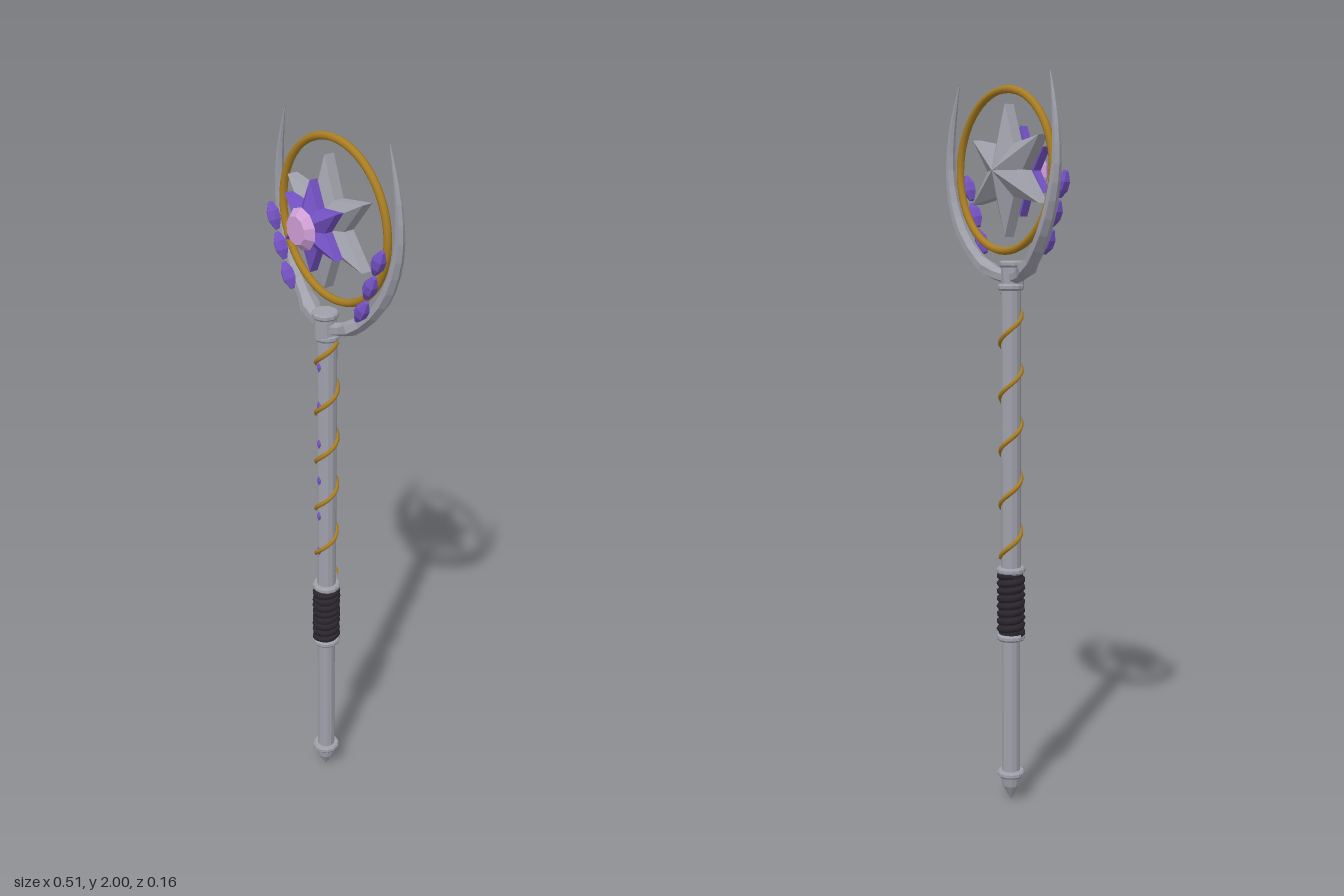
import * as THREE from 'three';

const mat = (name, color) => Object.assign(new THREE.MeshStandardMaterial({ color }), { name });

// Faceted copy of a geometry
function facet(geo) {
  const g = geo.index ? geo.toNonIndexed() : geo;
  g.computeVertexNormals();
  return g;
}

// Closed solid through rings of points, with both ends capped
function loft(rings, flip = false) {
  const pos = [], n = rings[0].length;
  const tri = (a, b, c) => (flip ? [a, c, b] : [a, b, c]).forEach(p => pos.push(p.x, p.y, p.z));
  const centre = r => r.reduce((s, p) => s.add(p), new THREE.Vector3()).divideScalar(n);
  const first = rings[0], last = rings[rings.length - 1];
  const c0 = centre(first), c1 = centre(last);
  for (let j = 0; j < n; j++) {
    const k = (j + 1) % n;
    for (let i = 0; i < rings.length - 1; i++) {
      const r = rings[i], s = rings[i + 1];
      tri(r[j], r[k], s[k]);
      tri(r[j], s[k], s[j]);
    }
    tri(c0, first[k], first[j]);
    tri(c1, last[j], last[k]);
  }
  const g = new THREE.BufferGeometry();
  g.setAttribute('position', new THREE.Float32BufferAttribute(pos, 3));
  return facet(g);
}

// Six-pointed star built from [scale, z] layers, back to front
function star(outer, inner, layers) {
  return loft(layers.map(([s, z]) => Array.from({ length: 12 }, (_, i) => {
    const a = Math.PI / 2 + i * Math.PI / 6, r = s * (i % 2 ? inner : outer);
    return new THREE.Vector3(Math.cos(a) * r, Math.sin(a) * r, z);
  })));
}

// Lathed part from [radius, height] pairs
const lathe = (pts, sides) => new THREE.LatheGeometry(pts.map(p => new THREE.Vector2(...p)), sides);

// Spiral tube round the shaft; the angle is 0 at the front
function helix(radius, tube, y0, y1, pitch, frontY, segments) {
  const pts = [], steps = Math.ceil((y1 - y0) / pitch * 16);
  for (let i = 0; i <= steps; i++) {
    const y = y0 + (y1 - y0) * i / steps, a = (y - frontY) / pitch * Math.PI * 2;
    pts.push(new THREE.Vector3(Math.sin(a) * radius, y, Math.cos(a) * radius));
  }
  return new THREE.TubeGeometry(new THREE.CatmullRomCurve3(pts), segments, tube, 6);
}

// Curved, tapering prong; side is 1 or -1
function prong(side) {
  // x, y, z of the centre line, then half width and half depth
  const rows = [
    [0.01, 1.472, -0.02, 0.018, 0.02], [0.06, 1.483, -0.027, 0.018, 0.022],
    [0.12, 1.517, -0.04, 0.018, 0.022], [0.185, 1.59, -0.049, 0.017, 0.021],
    [0.225, 1.675, -0.052, 0.015, 0.018], [0.243, 1.765, -0.052, 0.012, 0.014],
    [0.238, 1.86, -0.05, 0.009, 0.011], [0.222, 1.94, -0.047, 0.005, 0.006],
    [0.206, 2.0, -0.045, 0.0008, 0.001]];
  const path = new THREE.CatmullRomCurve3(rows.map(r => new THREE.Vector3(r[0], r[1], r[2])));
  const size = new THREE.CatmullRomCurve3(rows.map(r => new THREE.Vector3(r[3], r[4], 0)));
  const rings = [];
  for (let i = 0; i <= 16; i++) {
    const p = path.getPoint(i / 16), t = path.getTangent(i / 16), s = size.getPoint(i / 16);
    const l = Math.hypot(t.x, t.y);
    rings.push(Array.from({ length: 6 }, (_, j) => {
      const a = j * Math.PI / 3, w = Math.cos(a) * s.x;
      return new THREE.Vector3(side * (p.x + w * t.y / l), p.y - w * t.x / l, p.z + Math.sin(a) * s.y);
    }));
  }
  // the in-plane normal points outward, so the ring runs clockwise on the +x side
  return loft(rings, side > 0);
}

export function createModel() {
  const silver = mat('silver', 0xa0a0ab), gold = mat('gold', 0xab7f22), purple = mat('purple', 0x7452c4);
  const pink = mat('pink', 0xcf9fd6), black = mat('black', 0x2b262e);
  const model = new THREE.Group();
  model.name = 'staff';
  const add = (parent, name, geo, material, x = 0, y = 0, z = 0) => {
    const m = new THREE.Mesh(geo, material);
    m.name = name;
    m.position.set(x, y, z);
    parent.add(m);
    return m;
  };

  // Shaft with its fittings
  const shaft = new THREE.Group();
  shaft.name = 'shaft';
  shaft.position.z = -0.02;
  model.add(shaft);
  const rod = (name, r, y0, y1, material = silver) =>
    add(shaft, name, facet(new THREE.CylinderGeometry(r, r, y1 - y0, 12)), material, 0, (y0 + y1) / 2, 0);
  rod('lowerShaft', 0.0255, 0.07, 0.48);
  rod('upperShaft', 0.0275, 0.66, 1.45);
  add(shaft, 'pointedFoot', facet(lathe([[0, 0], [0.024, 0.042], [0.029, 0.07], [0, 0.07]], 12)), silver);
  const collar = (name, y, r) => add(shaft, name,
    facet(lathe([[0, -0.009], [r - 0.004, -0.009], [r, -0.004], [r, 0.004], [r - 0.004, 0.009], [0, 0.009]], 12)),
    silver, 0, y, 0);
  collar('footCollar', 0.078, 0.039);
  collar('lowerGripCollar', 0.475, 0.04);
  collar('upperGripCollar', 0.665, 0.04);
  collar('headCollar', 1.447, 0.036);

  // Wrapped grip
  rod('gripCore', 0.033, 0.475, 0.665, black);
  add(shaft, 'gripWrap', helix(0.03, 0.0105, 0.485, 0.655, 0.0215, 0.49, 160), black);

  // Gold spiral and the small stones between its turns
  add(shaft, 'goldSpiral', helix(0.0285, 0.0065, 0.7, 1.435, 0.149, 0.79, 150), gold);
  for (let i = 0; i < 6; i++) {
    const stone = add(shaft, 'shaftStone', facet(new THREE.OctahedronGeometry(1)), purple, 0, 0.79 + i * 0.1145, 0.026);
    stone.scale.set(0.009, 0.019, 0.007);
  }

  // Socket that carries the prongs
  rod('socket', 0.031, 1.45, 1.505).position.z = 0.006;
  collar('socketCap', 1.509, 0.036).position.z = 0.006;
  add(model, 'leftProng', prong(1), silver);
  add(model, 'rightProng', prong(-1), silver);

  // Ring, stars and centre stone
  const head = new THREE.Group();
  head.name = 'head';
  head.position.y = 1.756;
  model.add(head);
  add(head, 'goldRing', new THREE.TorusGeometry(0.212, 0.0105, 8, 56), gold, 0, 0, -0.04);
  add(head, 'silverStar', star(0.175, 0.08, [[0.002, -0.082], [1, -0.04], [1, -0.01], [0.6, 0.011]]), silver);
  add(head, 'purpleStar', star(0.12, 0.06, [[1, 0.011], [1, 0.035], [0.45, 0.055]]), purple);
  const stone = add(head, 'centreStone',
    facet(lathe([[0, 0.04], [0.03, 0.045], [0.056, 0.06], [0.037, 0.08], [0, 0.08]], 10)), pink);
  stone.rotation.x = Math.PI / 2;

  // Side stones on the prongs
  const stoneGeo = facet(lathe([[0, -0.037], [0.007, -0.036], [0.0185, -0.012],
    [0.0185, 0.012], [0.007, 0.036], [0, 0.037]], 6));
  for (const side of [1, -1]) {
    for (const [x, y, tilt] of [[0.214, 1.716, 0.42], [0.184, 1.642, 0.48], [0.153, 1.569, 0.56]]) {
      add(model, side > 0 ? 'leftStone' : 'rightStone', stoneGeo, purple, side * x, y, -0.01).rotation.z = -side * tilt;
    }
  }
  return model;
}
